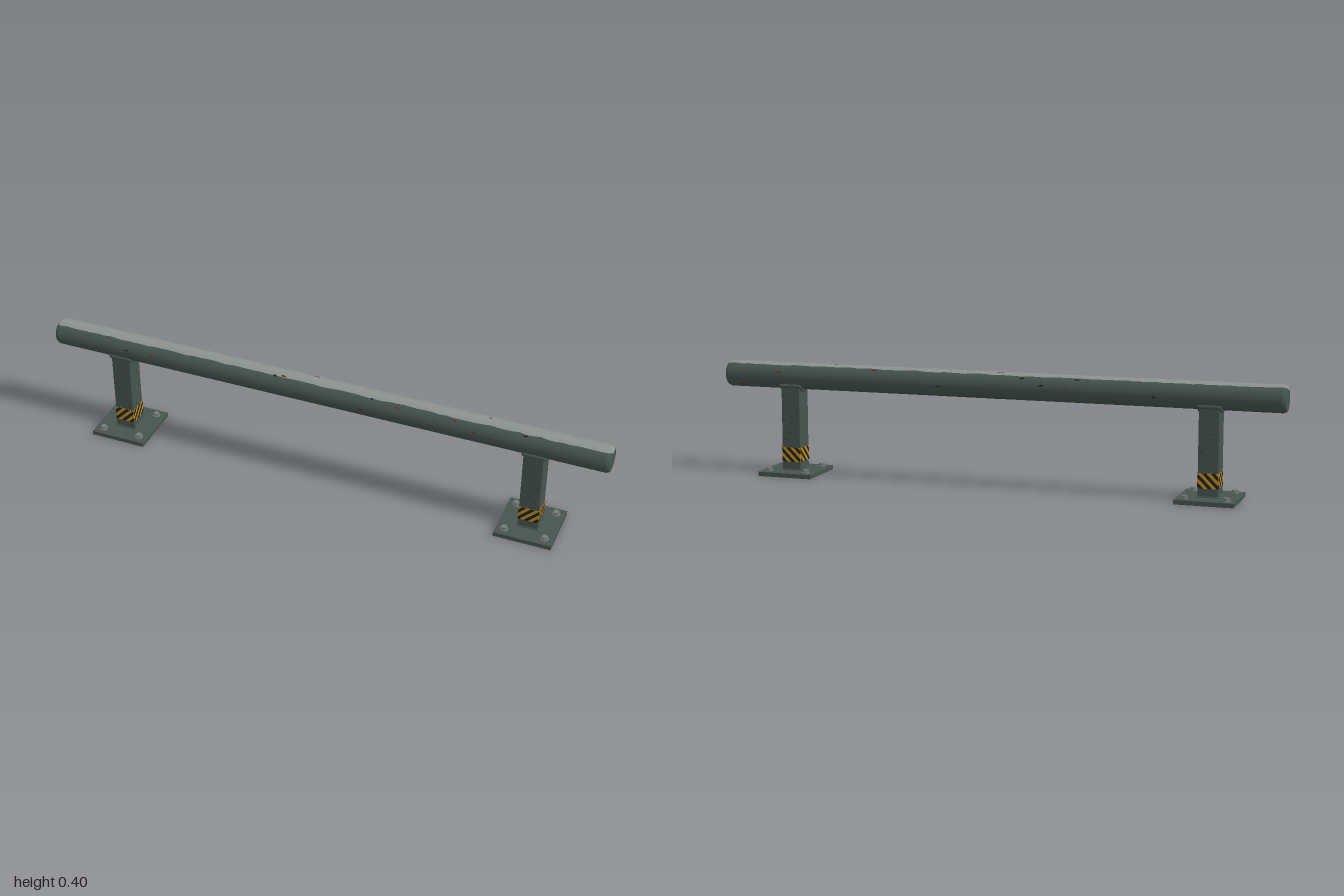
import * as THREE from 'three';
import { RoundedBoxGeometry } from 'three/addons/geometries/RoundedBoxGeometry.js';

const R = 0.046, RAIL_Y = 0.35, POST_X = 0.75, POST_W = 0.07;
const mat = (name, color) => new THREE.MeshStandardMaterial({ name, color });

export function createModel() {
  const paint = mat('greenGreyPaint', 0x46544e);
  const wornSteel = mat('wornSteel', 0x8c938f);
  const boltSteel = mat('boltSteel', 0x747a77);
  const yellow = mat('hazardYellow', 0xbf8c1c);
  const black = mat('hazardBlack', 0x1f2022);
  const rust = mat('rust', 0x6a2c20);

  let seed = 7;
  const rand = () => (seed = (seed * 16807) % 2147483647) / 2147483647;
  const model = new THREE.Group();
  model.name = 'groundRail';
  const add = (parent, name, geo, material, x = 0, y = 0, z = 0) => {
    const m = new THREE.Mesh(geo, material);
    m.name = name;
    m.position.set(x, y, z);
    parent.add(m);
    return m;
  };

  // Rail: separate turned sections keep the bevel edges crisp
  const profile = [[0, -1], [0.039, -1], [0.043, -0.996], [R, -0.988],
    [R, 0.988], [0.043, 0.996], [0.039, 1], [0, 1]];
  const rail = new THREE.Group();
  rail.name = 'rail';
  rail.position.y = RAIL_Y;
  model.add(rail);
  for (let i = 0; i < profile.length - 1; i++) {
    const pts = [profile[i], profile[i + 1]].map(([r, y]) => new THREE.Vector2(r, y));
    const name = ['endCap', 'endBevel', 'endBevel', 'tube', 'endBevel', 'endBevel', 'endCap'][i];
    add(rail, name, new THREE.LatheGeometry(pts, 40).rotateZ(-Math.PI / 2), paint);
  }

  // Thin skin around the rail; each station is [x, radius, startAngle, endAngle], angle 0 is up
  function railSkin(stations, cols) {
    const pos = [], index = [];
    stations.forEach(([x, r, a0, a1], i) => {
      for (let j = 0; j <= cols; j++) {
        const a = a0 + (a1 - a0) * j / cols;
        pos.push(x, r * Math.cos(a), r * Math.sin(a));
        if (i && j) {
          const d = i * (cols + 1) + j, c = d - 1, b = d - cols - 1, a = b - 1;
          index.push(a, b, c, b, d, c);
        }
      }
    });
    const g = new THREE.BufferGeometry();
    g.setAttribute('position', new THREE.Float32BufferAttribute(pos, 3));
    g.setIndex(index);
    g.computeVertexNormals();
    return g;
  }

  // Worn strip along the top, ragged at its sides and wrapped over both ends
  const lift = 0.0008, ends = [[1.0008, 0.031, 0.4], [1.0008, 0.039, 0.42], [0.9965, 0.0438, 0.45]];
  const strip = ends.map(([x, r, a]) => [-x, r, -a, a]);
  for (let i = 0; i <= 80; i++) {
    strip.push([-0.988 + 1.976 * i / 80, R + lift, -0.52 - 0.1 * rand(), 0.52 + 0.1 * rand()]);
  }
  strip.push(...[...ends].reverse().map(([x, r, a]) => [x, r, -a, a]));
  add(rail, 'wornTop', railSkin(strip, 8), wornSteel);

  // Small chips scattered around the rail
  for (let i = 0; i < 40; i++) {
    const x = -0.95 + 1.9 * rand(), a = rand() * Math.PI * 2;
    const l = 0.006 + 0.009 * rand(), w = 0.04 + 0.05 * rand(), skew = 0.08 * (rand() - 0.5);
    const chip = [[x - l, R + 0.0013, a, a + 0.01], [x, R + 0.0013, a - w, a + w],
      [x + l, R + 0.0013, a + skew, a + skew + 0.01]];
    add(rail, 'railChip', railSkin(chip, 2), i % 3 === 0 ? black : rust);
  }

  // One diagonal stripe, cut off at the sides of a w by h panel
  function stripe(start, width, w, h, dir) {
    const left = [], right = [], clamp = s => dir * (Math.min(w, Math.max(0, s)) - w / 2);
    for (let i = 0; i <= 16; i++) {
      const t = h * i / 16;
      left.push(new THREE.Vector2(clamp(start + t), t - h / 2));
      right.unshift(new THREE.Vector2(clamp(start + width + t), t - h / 2));
    }
    return new THREE.ShapeGeometry(new THREE.Shape([...left, ...right]));
  }

  // Weld bead that follows the meeting of the square post and the round rail
  function saddleWeld() {
    const pts = [], h = POST_W / 2;
    const corners = [[h, h], [h, -h], [-h, -h], [-h, h]];
    corners.forEach(([x, z], k) => {
      const [nx, nz] = corners[(k + 1) % 4];
      for (let i = 0; i < 8; i++) {
        const px = x + (nx - x) * i / 8, pz = z + (nz - z) * i / 8;
        pts.push(new THREE.Vector3(px, RAIL_Y - Math.sqrt(R * R - pz * pz) - 0.003, pz));
      }
    });
    return new THREE.TubeGeometry(new THREE.CatmullRomCurve3(pts, true), 64, 0.007, 8, true);
  }

  function makePost() {
    const post = new THREE.Group();
    post.name = 'post';
    add(post, 'basePlate', new THREE.BoxGeometry(0.2, 0.015, 0.2), paint, 0, 0.0075, 0);
    add(post, 'upright', new RoundedBoxGeometry(POST_W, 0.305, POST_W, 2, 0.003), paint, 0, 0.1675, 0);
    add(post, 'saddleWeld', saddleWeld(), paint);
    const foot = new THREE.CylinderGeometry(0.051, 0.054, 0.005, 4).toNonIndexed();
    foot.rotateY(Math.PI / 4).computeVertexNormals();
    add(post, 'footWeld', foot, paint, 0, 0.0172, 0);

    // Anchor bolts with washers
    for (const x of [-0.07, 0.07]) for (const z of [-0.07, 0.07]) {
      add(post, 'washer', new THREE.CylinderGeometry(0.014, 0.014, 0.003, 20), boltSteel, x, 0.0165, z);
      const hex = new THREE.CylinderGeometry(0.011, 0.011, 0.009, 6).toNonIndexed();
      hex.computeVertexNormals();
      add(post, 'boltHead', hex, boltSteel, x, 0.0225, z);
    }

    // Hazard band and chips on each of the four faces
    const bandW = POST_W + 0.001, bandH = 0.052;
    add(post, 'hazardBand', new THREE.BoxGeometry(bandW, bandH, bandW), yellow, 0, 0.071, 0);
    for (let k = 0; k < 4; k++) {
      const face = new THREE.Group();
      face.name = 'postFace';
      face.rotation.y = k * Math.PI / 2;
      post.add(face);
      for (let s = -0.04; s < bandW; s += 0.03) {
        add(face, 'hazardStripe', stripe(s, 0.015, bandW, bandH, k < 2 ? 1 : -1), black,
          0, 0.071, bandW / 2 + 0.0005);
      }
      for (let i = 0; i < 9; i++) {
        const chip = add(face, 'postChip', new THREE.CircleGeometry(0.004, 5), i % 3 ? rust : black,
          (rand() - 0.5) * 0.056, 0.108 + 0.02 * (i + rand()), POST_W / 2 + 0.0006);
        chip.scale.set(1, 0.4, 1);
        chip.rotation.z = -0.6 + 0.4 * rand();
      }
    }
    return post;
  }

  for (const side of [-1, 1]) {
    const post = makePost();
    post.name = side > 0 ? 'leftPost' : 'rightPost';
    post.position.x = side * POST_X;
    model.add(post);
  }
  return model;
}
